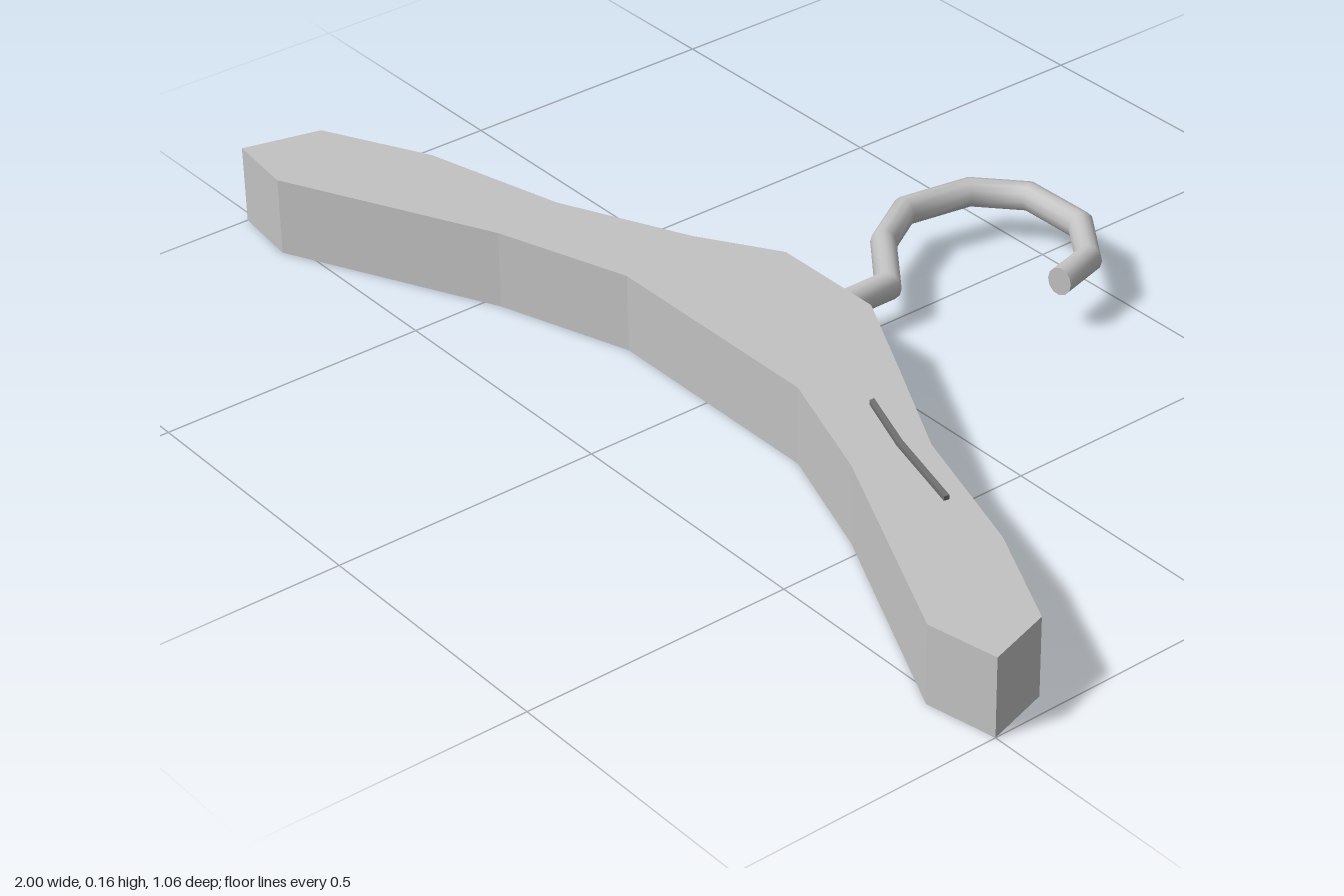
import * as THREE from 'three';

const grey = new THREE.MeshStandardMaterial({ name: 'light grey', color: 0xc2c2c2 });
const dark = new THREE.MeshStandardMaterial({ name: 'dark grey', color: 0x707070 });

// Flat plate from an outline given as [x, z], between two heights
function plate(name, outline, bottom, top, material) {
  const shape = new THREE.Shape(outline.map(([x, z]) => new THREE.Vector2(x, z)));
  const geo = new THREE.ExtrudeGeometry(shape, { depth: top - bottom, bevelEnabled: false });
  geo.rotateX(Math.PI / 2).translate(0, top, 0);
  const mesh = new THREE.Mesh(geo, material);
  mesh.name = name;
  return mesh;
}

// Mitred round rod along a nearly level path, with closed ends
function rod(name, path, rx, ry, sides, material) {
  const pts = path.map(p => new THREE.Vector3(...p));
  const last = pts.length - 1;
  const pos = [], index = [];
  const flat = (a, b) => b.clone().sub(a).setY(0).normalize();
  const rings = pts.map((p, i) => {
    const before = flat(pts[Math.max(i - 1, 0)], pts[Math.max(i, 1)]);
    const after = flat(pts[Math.min(i, last - 1)], pts[Math.min(i + 1, last)]);
    const dir = before.clone().add(after).normalize();
    const side = new THREE.Vector3(-dir.z, 0, dir.x).multiplyScalar(rx / dir.dot(before));
    return Array.from({ length: sides }, (_, k) => {
      const a = (k / sides) * Math.PI * 2;
      return p.clone().addScaledVector(side, Math.cos(a)).add(new THREE.Vector3(0, ry * Math.sin(a), 0));
    });
  });
  const add = v => pos.push(v.x, v.y, v.z) / 3 - 1;
  rings.forEach(ring => ring.forEach(add));
  for (let i = 0; i < last; i++) {
    for (let k = 0; k < sides; k++) {
      const a = i * sides + k, b = i * sides + (k + 1) % sides;
      index.push(a, b + sides, b, a, a + sides, b + sides);
    }
  }
  // End caps
  [0, last].forEach(i => {
    const centre = add(pts[i]);
    const rim = rings[i].map(add);
    rim.forEach((v, k) => {
      const next = rim[(k + 1) % sides];
      index.push(centre, ...(i === 0 ? [v, next] : [next, v]));
    });
  });
  const geo = new THREE.BufferGeometry();
  geo.setAttribute('position', new THREE.Float32BufferAttribute(pos, 3));
  // Wind faces outwards
  for (let t = 0; t < index.length; t += 3) [index[t + 1], index[t + 2]] = [index[t + 2], index[t + 1]];
  const trial = new THREE.Vector3().subVectors(rings[0][1], rings[0][0]);
  const along = new THREE.Vector3().subVectors(rings[1][0], rings[0][0]);
  const outward = new THREE.Vector3().subVectors(rings[0][0], pts[0]);
  // First triangle is (a, b, b + sides), so its normal follows trial x along
  if (trial.cross(along).dot(outward) < 0) {
    for (let t = 0; t < index.length; t += 3) [index[t + 1], index[t + 2]] = [index[t + 2], index[t + 1]];
  }
  geo.setIndex(index);
  geo.computeVertexNormals();
  const mesh = new THREE.Mesh(geo, material);
  mesh.name = name;
  return mesh;
}

export function createModel() {
  const group = new THREE.Group();
  group.name = 'coatHanger';

  // Shoulder bar
  group.add(plate('shoulderBar', [
    [-0.105, 0], [-0.25, 0.09], [-0.49, 0.2], [-0.765, 0.27], [-0.965, 0.37], [-1, 0.515],
    [-0.865, 0.53], [-0.47, 0.34], [-0.215, 0.257], [0.24, 0.257], [0.47, 0.337], [0.87, 0.525],
    [1, 0.5], [0.965, 0.38], [0.77, 0.285], [0.505, 0.2], [0.295, 0.09], [0.12, 0],
  ], 0, 0.148, grey));

  // Thin groove mark on the left arm
  group.add(plate('grooveMark', [
    [0.352, 0.19], [0.475, 0.235], [0.64, 0.28], [0.638, 0.29], [0.472, 0.245], [0.352, 0.2],
  ], 0.148, 0.156, dark));

  // Hook
  group.add(rod('hook', [
    [0, 0.075, 0.03], [0, 0.075, -0.14], [-0.1, 0.087, -0.215], [-0.155, 0.091, -0.31],
    [-0.13, 0.093, -0.44], [-0.05, 0.094, -0.51], [0.085, 0.095, -0.51],
    [0.18, 0.097, -0.44], [0.205, 0.098, -0.35],
  ], 0.023, 0.027, 12, grey));

  return group;
}
